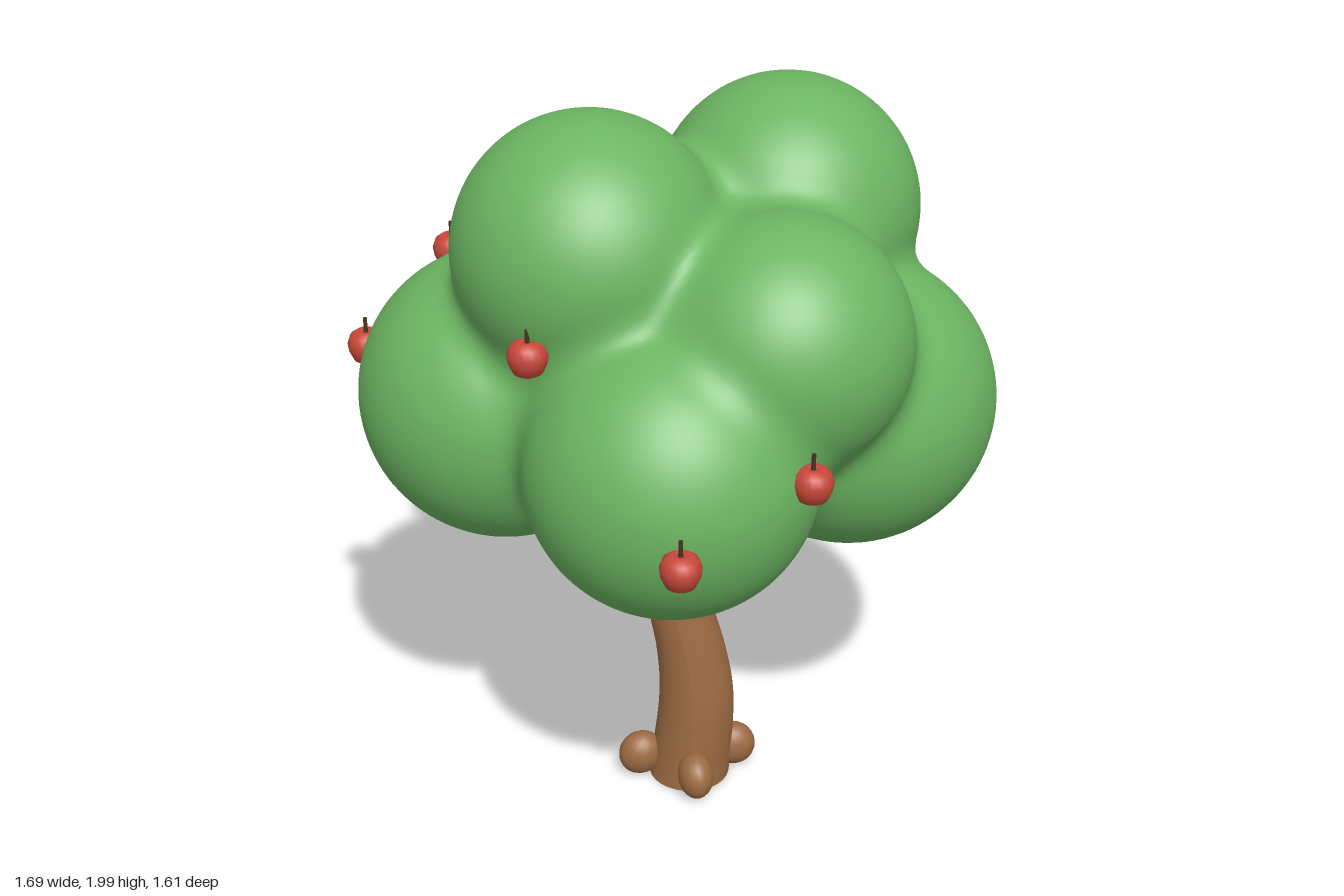
import * as THREE from 'three';
import { mergeVertices } from 'three/addons/utils/BufferGeometryUtils.js';

const mat = (name, color) => {
  const m = new THREE.MeshStandardMaterial({ color });
  m.name = name;
  return m;
};

// Leaf lobes: centre x, y, z and radius
const LOBES = [
  [0.02, 1.29, -0.02, 0.5],
  [-0.42, 1.21, 0, 0.38],
  [0.46, 1.2, -0.08, 0.38],
  [0.05, 1.21, 0.375, 0.365],
  [0.07, 1.23, -0.44, 0.37],
  [-0.18, 1.66, 0.11, 0.34],
  [0.28, 1.66, -0.23, 0.34],
  [0.3, 1.49, 0.23, 0.32],
  [-0.25, 1.53, -0.28, 0.32],
];

// Distance to the softly blended lobes
function canopyDistance(p) {
  const k = 0.07;
  let d = Infinity;
  for (const [x, y, z, r] of LOBES) {
    const s = Math.hypot(p.x - x, p.y - y, p.z - z) - r;
    const h = d === Infinity ? 0 : Math.max(k - Math.abs(d - s), 0) / k;
    d = Math.min(d, s) - h * h * k * 0.25;
  }
  return d;
}

// Canopy: a fine ball shrunk along its rays onto the blended lobes
function canopyGeometry() {
  let geo = new THREE.IcosahedronGeometry(1, 44);
  geo.deleteAttribute('uv');
  geo.deleteAttribute('normal');
  geo = mergeVertices(geo, 1e-5);
  const pos = geo.attributes.position;
  const centre = new THREE.Vector3(0.02, 1.35, -0.02);
  const dir = new THREE.Vector3();
  const p = new THREE.Vector3();
  for (let i = 0; i < pos.count; i++) {
    dir.fromBufferAttribute(pos, i).normalize();
    let t = 1.3;
    for (let n = 0; n < 80; n++) {
      const d = canopyDistance(p.copy(centre).addScaledVector(dir, t));
      if (d < 0.0005) break;
      t -= d;
    }
    pos.setXYZ(i, p.x, p.y, p.z);
  }
  geo.computeVertexNormals();
  return geo;
}

// Trunk: a cylinder bent along a curve, flaring to the ground
function trunkGeometry() {
  const path = new THREE.CatmullRomCurve3([
    [0.058, 0.01, -0.04], [0.077, 0.27, -0.042], [0.06, 0.42, -0.046],
    [0.02, 0.6, -0.05], [0.014, 0.78, -0.054], [0.03, 1.05, -0.05],
  ].map((a) => new THREE.Vector3(...a)));
  const geo = new THREE.CylinderGeometry(1, 1, 1, 28, 24);
  const pos = geo.attributes.position;
  for (let i = 0; i < pos.count; i++) {
    const t = pos.getY(i) + 0.5;
    const c = path.getPoint(t);
    const r = 0.113 - 0.036 * Math.min(1, t * 1.25);
    pos.setXYZ(i, c.x + pos.getX(i) * r, c.y, c.z + pos.getZ(i) * r);
  }
  geo.computeVertexNormals();
  return geo;
}

export function createModel() {
  const tree = new THREE.Group();
  tree.name = 'appleTree';
  const leaf = mat('leafGreen', 0x6cb562);
  const bark = mat('barkBrown', 0x9c6b43);
  const red = mat('appleRed', 0xc8483a);
  const stemBrown = mat('stemBrown', 0x4a3420);

  const add = (parent, name, geo, material) => {
    const mesh = new THREE.Mesh(geo, material);
    mesh.name = name;
    parent.add(mesh);
    return mesh;
  };

  add(tree, 'canopy', canopyGeometry(), leaf);
  add(tree, 'trunk', trunkGeometry(), bark);

  // Four stubby roots around the base
  const rootGeo = new THREE.SphereGeometry(1, 20, 14);
  for (let i = 0; i < 4; i++) {
    const a = THREE.MathUtils.degToRad(16 + i * 90);
    const root = add(tree, 'root', rootGeo, bark);
    root.position.set(0.052 + Math.sin(a) * 0.133, 0.08, -0.04 + Math.cos(a) * 0.133);
    root.rotation.set(-0.5, a, 0, 'YXZ');
    root.scale.set(0.05, 0.066, 0.062);
  }

  // Apples with short stems
  const appleGeo = new THREE.LatheGeometry([
    [0, -0.042], [0.018, -0.046], [0.036, -0.036], [0.047, -0.012], [0.05, 0.01],
    [0.042, 0.032], [0.025, 0.044], [0.01, 0.042], [0, 0.034],
  ].map(([x, y]) => new THREE.Vector2(x, y)), 20);
  const stemGeo = new THREE.CylinderGeometry(0.005, 0.006, 0.05, 8);
  const spots = [
    [0.11, 1.155, 0.755], [0.395, 1.275, 0.535], [-0.285, 1.51, 0.42],
    [-0.8, 1.285, -0.07], [-0.605, 1.48, -0.275],
    [0.46, 1.54, -0.525], [0.57, 1, -0.41],
  ];
  for (const spot of spots) {
    const apple = new THREE.Group();
    apple.name = 'apple';
    apple.position.set(...spot);
    add(apple, 'appleFruit', appleGeo, red);
    add(apple, 'appleStem', stemGeo, stemBrown).position.y = 0.055;
    tree.add(apple);
  }
  return tree;
}
